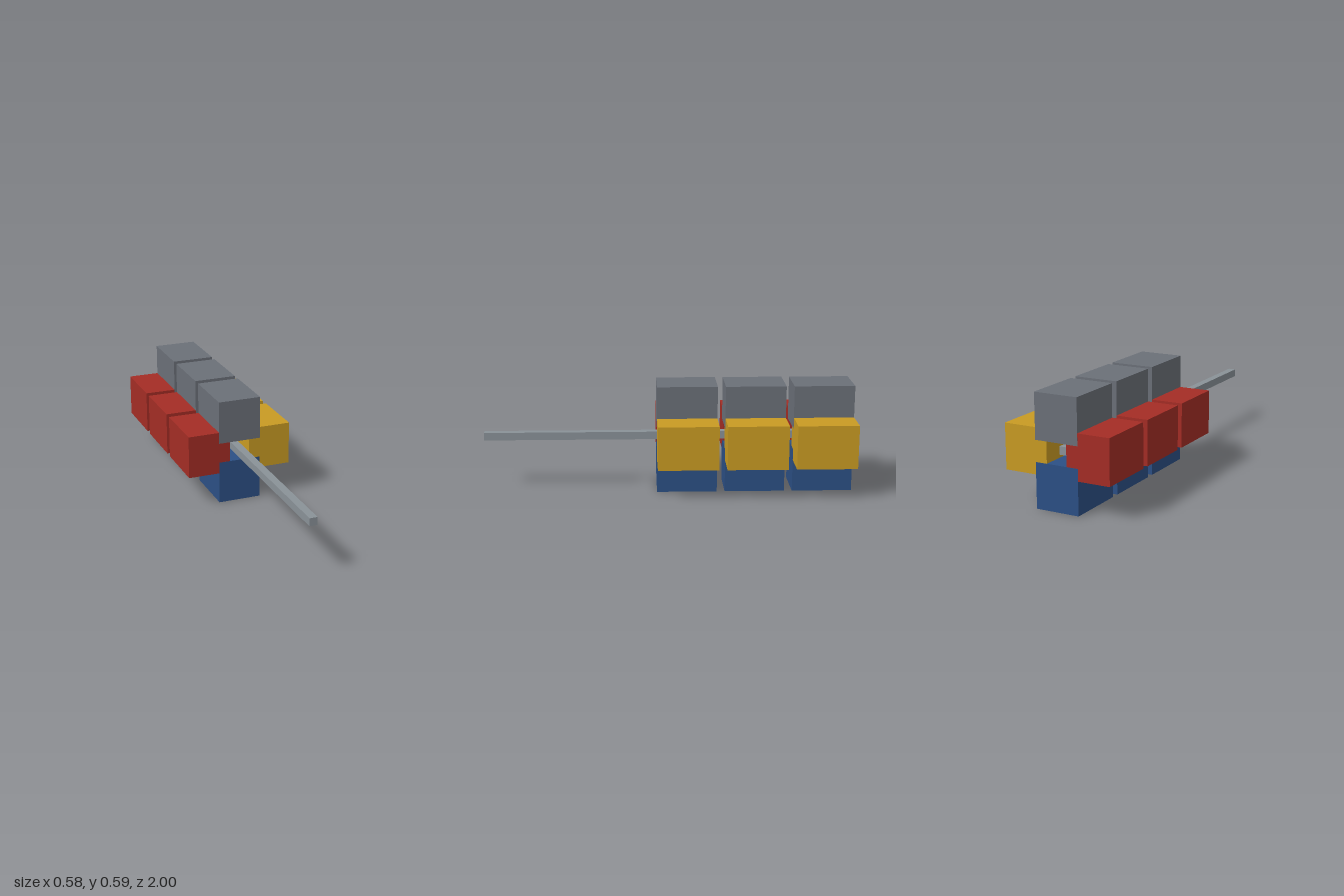
import * as THREE from 'three';

export function createModel() {
  const model = new THREE.Group();
  model.name = 'blockClusterOnRod';

  const material = (name, color) => {
    const m = new THREE.MeshStandardMaterial({ color });
    m.name = name;
    return m;
  };
  const gray = material('slateGray', 0x6b7078);
  const red = material('brickRed', 0xa42d25);
  const yellow = material('mustardYellow', 0xc99b23);
  const blue = material('deepBlue', 0x2c5085);
  const steel = material('steelGray', 0x8a9298);

  const axisY = 0.292; // height of the rod
  const side = 0.237; // block width and height
  const length = 0.324; // block depth
  const offset = 0.174; // block distance from the rod

  const box = (name, mat, w, h, d, x, y, z) => {
    const mesh = new THREE.Mesh(new THREE.BoxGeometry(w, h, d), mat);
    mesh.name = name;
    mesh.position.set(x, y, z);
    return mesh;
  };

  // Long square rod through the middle
  const rodBack = -0.94;
  model.add(box('rod', steel, 0.042, 0.042, 1 - rodBack, 0, axisY, (1 + rodBack) / 2));

  // Three rings of four overlapping blocks; upper and lower ones sit a hair proud
  const blocks = [
    ['topBlock', gray, 0, 1, 0.001],
    ['bottomBlock', blue, 0, -1, 0.001],
    ['leftBlock', yellow, 1, 0, 0],
    ['rightBlock', red, -1, 0, 0],
  ];
  [-0.102, -0.47, -0.838].forEach((z, i) => {
    const ring = new THREE.Group();
    ring.name = `blockRing${i + 1}`;
    for (const [name, mat, dx, dy, proud] of blocks) {
      ring.add(box(name, mat, side, side, length + proud, dx * offset, axisY + dy * offset, z));
    }
    model.add(ring);
  });

  return model;
}
